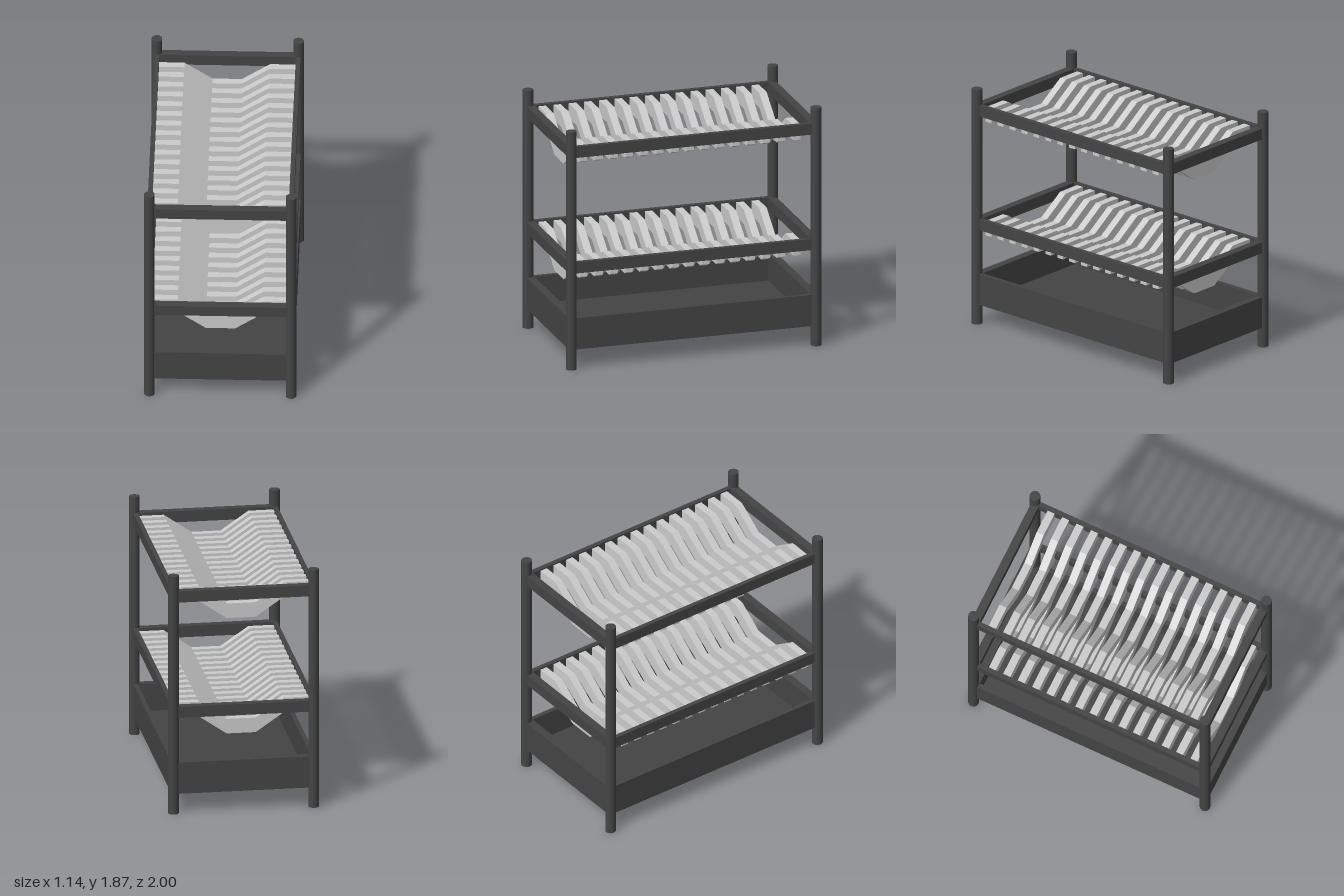
import * as THREE from 'three';

const dark = new THREE.MeshStandardMaterial({ color: 0x444444 });
const grey = new THREE.MeshStandardMaterial({ color: 0xcccccc });

const POST_X = 0.53, POST_Z = 0.96, POST_H = 1.87;

function add(parent, name, geometry, material, x = 0, y = 0, z = 0) {
  const mesh = new THREE.Mesh(geometry, material);
  mesh.name = name;
  mesh.position.set(x, y, z);
  parent.add(mesh);
  return mesh;
}

// Four walls running between the posts, from y0 to y1
function addFrame(parent, name, y0, y1) {
  const h = y1 - y0, y = (y0 + y1) / 2;
  for (const s of [-1, 1]) {
    add(parent, name + (s > 0 ? 'Left' : 'Right'),
      new THREE.BoxGeometry(0.035, h, 2 * POST_Z), dark, s * 0.528, y, 0);
    add(parent, name + (s > 0 ? 'Front' : 'Back'),
      new THREE.BoxGeometry(2 * POST_X, h, 0.062), dark, 0, y, s * 0.949);
  }
}

// Dished slat outline, with y = 0 at the underside of the rail
function slatGeometry() {
  const pts = [
    [-0.515, -0.04], [-0.32, -0.04], [-0.11, -0.185], [0.11, -0.185], [0.32, -0.04], [0.515, -0.04],
    [0.515, 0.075], [0.32, 0.075], [0.11, -0.07], [-0.11, -0.07], [-0.32, 0.075], [-0.515, 0.075],
  ];
  const shape = new THREE.Shape(pts.map(([x, y]) => new THREE.Vector2(x, y)));
  const geometry = new THREE.ExtrudeGeometry(shape, { depth: 0.058, bevelEnabled: false });
  geometry.translate(0, 0, -0.029);
  return geometry;
}

export function createModel() {
  const model = new THREE.Group();
  model.name = 'dishRack';

  // Corner posts
  const postGeometry = new THREE.CylinderGeometry(0.04, 0.04, POST_H, 32);
  for (const sx of [-1, 1]) {
    for (const sz of [-1, 1]) {
      add(model, 'post', postGeometry, dark, sx * POST_X, POST_H / 2, sz * POST_Z);
    }
  }

  // Two racks: a rail frame carrying fifteen dished slats
  const slat = slatGeometry();
  for (const [name, y] of [['lowerRack', 0.752], ['upperRack', 1.66]]) {
    const rack = new THREE.Group();
    rack.name = name;
    addFrame(rack, 'rail', y, y + 0.087);
    for (let i = 0; i < 15; i++) {
      add(rack, 'slat', slat, grey, 0, y, 0.857 - i * 0.1195);
    }
    model.add(rack);
  }

  // Drip tray, open at the top
  const tray = new THREE.Group();
  tray.name = 'dripTray';
  addFrame(tray, 'trayWall', 0.155, 0.4);
  add(tray, 'trayFloor', new THREE.BoxGeometry(1.04, 0.03, 1.9), dark, 0, 0.171, 0);
  model.add(tray);

  return model;
}
